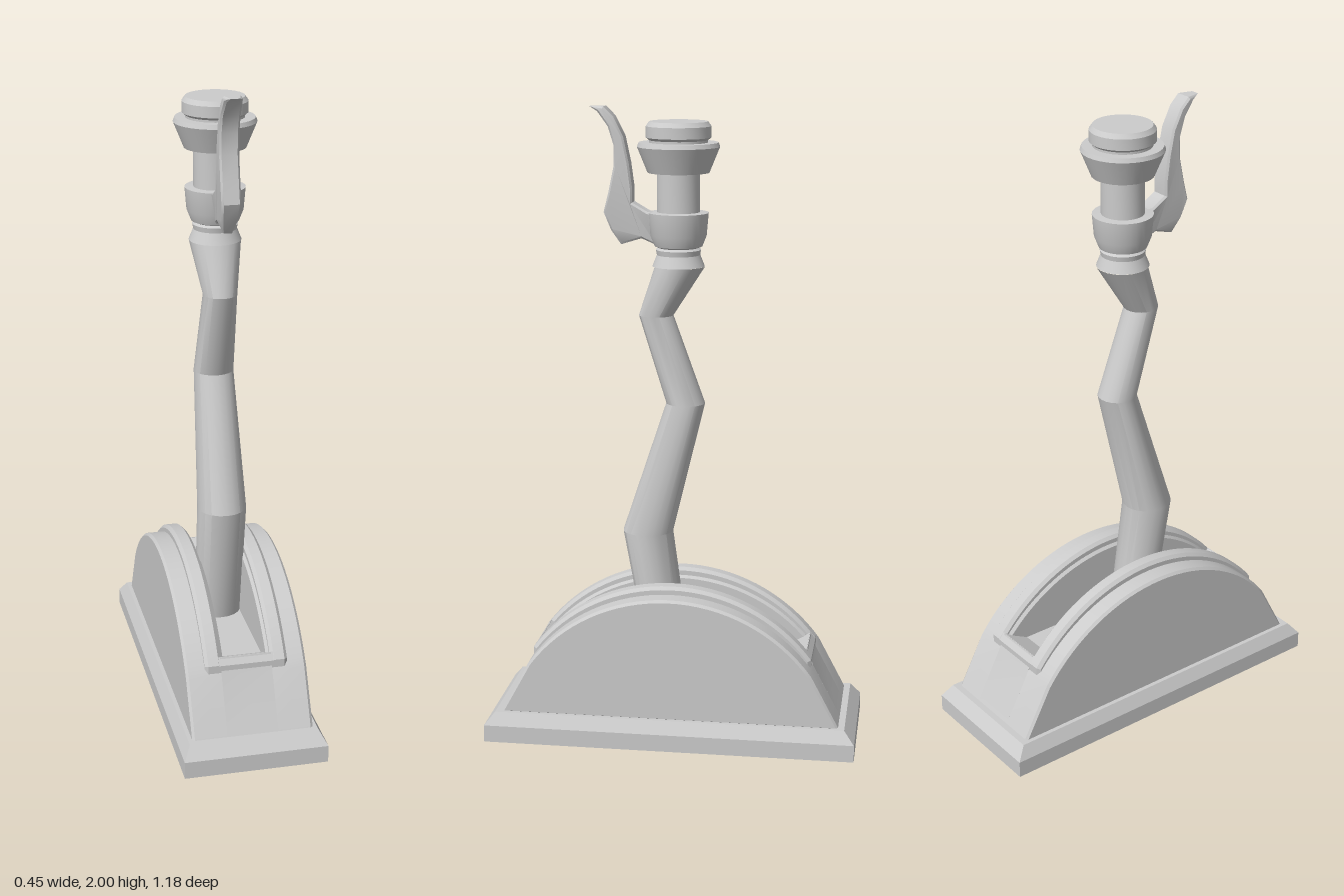
import * as THREE from 'three';
import { toCreasedNormals } from 'three/addons/utils/BufferGeometryUtils.js';

const material = new THREE.MeshStandardMaterial({ color: 0xcccccc });

function add(parent, name, geometry, crease = 0.42) {
  const mesh = new THREE.Mesh(toCreasedNormals(geometry, crease), material);
  mesh.name = name;
  parent.add(mesh);
  return mesh;
}

// Extrudes a (z, y) outline along x between x0 and x1, with chamfered rims
function slab(outline, x0, x1, bevel = 0) {
  const shape = new THREE.Shape(outline.map(([z, y]) => new THREE.Vector2(z, y)));
  const width = x1 - x0;
  const geometry = new THREE.ExtrudeGeometry(shape, {
    depth: width - 2 * bevel, bevelEnabled: bevel > 0, bevelThickness: bevel,
    bevelSize: bevel, bevelOffset: -bevel, bevelSegments: 1,
  });
  geometry.translate(0, 0, bevel - width / 2);
  geometry.rotateY(-Math.PI / 2);
  geometry.translate((x0 + x1) / 2, 0, 0);
  return geometry;
}

// Points of an arch from +half to -half in z, with its crown at the given height
function arch(half, crown, radius = 0.555, steps = 32) {
  const end = Math.asin(half / radius);
  return Array.from({ length: steps + 1 }, (_, i) => {
    const a = end * (1 - (2 * i) / steps);
    return [radius * Math.sin(a), crown - radius + radius * Math.cos(a)];
  });
}

export function createModel() {
  const model = new THREE.Group();
  model.name = 'lever';

  // Plinth with a sloping upper edge
  const base = new THREE.BoxGeometry(0.45, 0.055, 1.18);
  base.translate(0, 0.0275, 0);
  add(model, 'plinth', base);
  const slope = new THREE.BoxGeometry(0.45, 0.04, 1.18);
  const sp = slope.attributes.position;
  for (let i = 0; i < sp.count; i++) {
    if (sp.getY(i) > 0) sp.setXYZ(i, sp.getX(i) * 0.9, 0.02, sp.getZ(i) * 0.945);
  }
  slope.translate(0, 0.075, 0);
  slope.computeVertexNormals();
  add(model, 'plinthEdge', slope);

  // Arched housing: two cheeks and rails either side of a slotted core
  const housing = new THREE.Group();
  housing.name = 'housing';
  model.add(housing);
  const cheek = [[-0.54, 0.09], [0.54, 0.09], ...arch(0.45, 0.49)];
  const rail = [[-0.445, 0.25], [0.445, 0.25], ...arch(0.445, 0.515)];
  for (const s of [1, -1]) {
    const side = s > 0 ? 'left' : 'right';
    const span = (a, b) => (s > 0 ? [a, b] : [-b, -a]);
    add(housing, side + 'Cheek', slab(cheek, ...span(0.068, 0.19), 0.008));
    add(housing, side + 'Rail', slab(rail, ...span(0.077, 0.13), 0.01));
    const end = [[0.428, 0.25], [0.445, 0.25], [0.445, 0.29], [0.428, 0.312]]
      .map(([z, y]) => [z * s, y]);
    add(housing, s > 0 ? 'frontSlotEnd' : 'backSlotEnd', slab(end, -0.1, 0.1));
  }
  const core = [
    [-0.54, 0.09], [0.54, 0.09], [0.45, 0.26], [0.43, 0.312], [0.35, 0.27],
    [-0.35, 0.27], [-0.43, 0.312], [-0.45, 0.26],
  ];
  add(housing, 'slotFloor', slab(core, -0.08, 0.08));

  // Crooked shaft, from the top down: y, centre z, x radius, z radius
  const sections = [
    [1.515, -0.012, 0.081, 0.078],
    [1.36, 0.063, 0.053, 0.054],
    [1.083, -0.03, 0.063, 0.061],
    [0.663, 0.09, 0.078, 0.08],
    [0.25, 0.024, 0.074, 0.07],
  ];
  const sides = 20;
  const shaft = new THREE.CylinderGeometry(1, 1, 1, sides, sections.length - 1, true);
  const p = shaft.attributes.position;
  for (let i = 0; i < p.count; i++) {
    const [y, z, rx, rz] = sections[Math.floor(i / (sides + 1))];
    p.setXYZ(i, p.getX(i) * rx, y, z + p.getZ(i) * rz);
  }
  add(model, 'shaft', shaft);

  // Turned handle: neck ring, collar, grip, flange and cap
  const handle = [
    [0, 1.51], [0.081, 1.515], [0.067, 1.55], [0.07, 1.566], [0.062, 1.572],
    [0.074, 1.577], [0.087, 1.61], [0.093, 1.68], [0.066, 1.682], [0.066, 1.8],
    [0.095, 1.802], [0.127, 1.88], [0.122, 1.893], [0.09, 1.893], [0.09, 1.9],
    [0.1, 1.908], [0.1, 1.942], [0.09, 1.956], [0, 1.956],
  ].map(([r, y]) => new THREE.Vector2(r, y));
  add(model, 'handle', new THREE.LatheGeometry(handle, 32)).position.z = -0.007;

  // Curved release trigger in front of the handle
  const outline = [
    [0.265, 2], [0.24, 1.985], [0.207, 1.94], [0.19, 1.885], [0.19, 1.82],
    [0.207, 1.74], [0.222, 1.68], [0.2, 1.625], [0.17, 1.58], [0.106, 1.6],
    [0.06, 1.58], [0.06, 1.68], [0.085, 1.682], [0.133, 1.71], [0.133, 1.755],
    [0.143, 1.83], [0.16, 1.91], [0.19, 1.97], [0.22, 2],
  ];
  const trigger = slab(outline, -0.03, 0.03, 0.006);
  const t = trigger.attributes.position;
  for (let i = 0; i < t.count; i++) {
    const tip = 1 - 0.45 * THREE.MathUtils.smoothstep(t.getZ(i), 0.225, 0.265);
    const foot = 0.5 + 0.5 * THREE.MathUtils.smoothstep(t.getY(i), 1.57, 1.66);
    t.setX(i, t.getX(i) * foot * (t.getY(i) > 1.9 ? tip : 1));
  }
  add(model, 'trigger', trigger, 0.5);

  return model;
}
